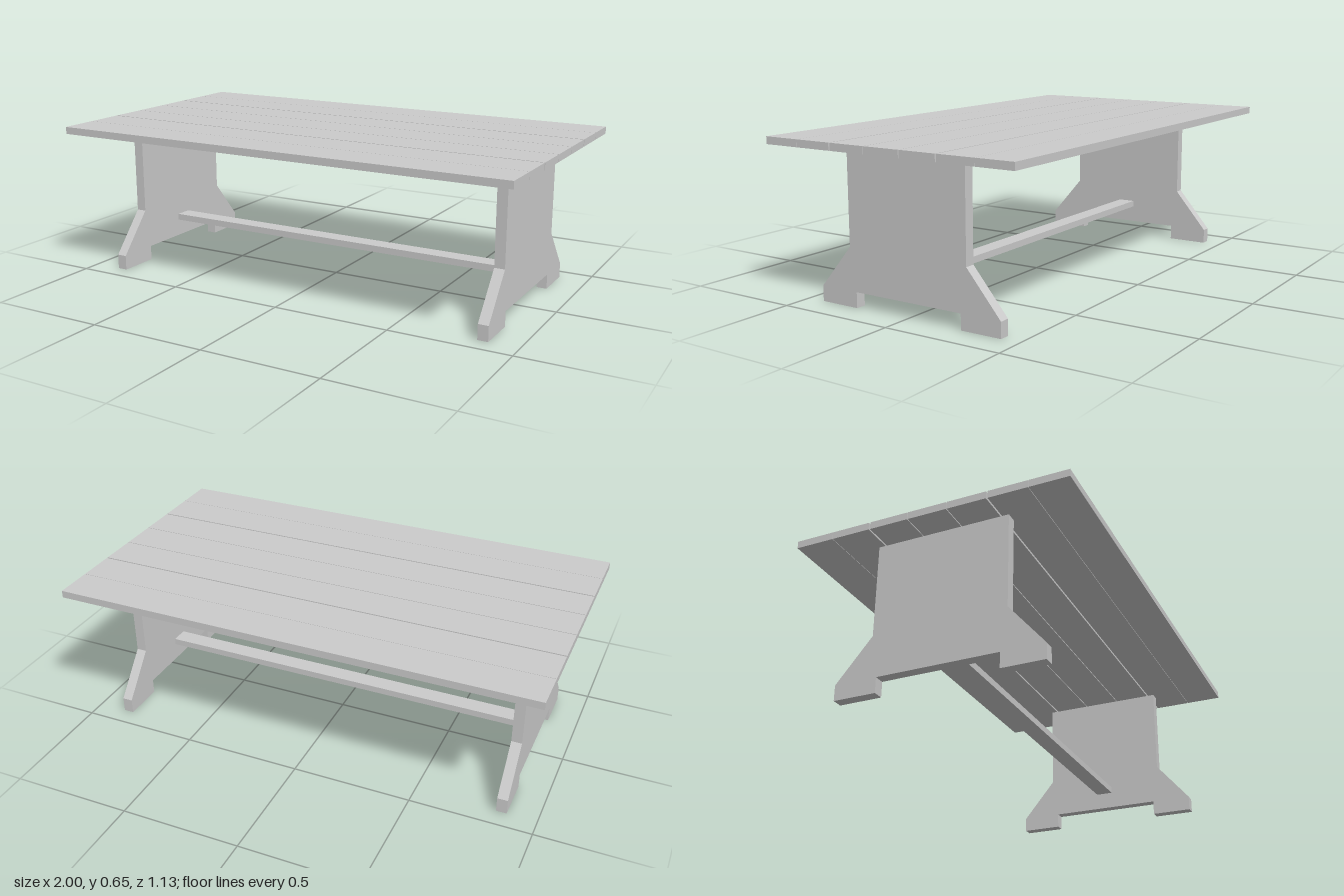
import * as THREE from 'three';

const material = new THREE.MeshStandardMaterial({ color: 0xcccccc, flatShading: true });

function addBox(parent, name, size, position) {
  const mesh = new THREE.Mesh(new THREE.BoxGeometry(...size), material);
  mesh.name = name;
  mesh.position.set(...position);
  parent.add(mesh);
}

// Trestle outline: one half from bottom to top, mirrored for the other half
function trestleGeometry(thickness) {
  const half = [[0.248, 0.063], [0.248, 0], [0.423, 0], [0.423, 0.063], [0.275, 0.237], [0.275, 0.623]];
  const mirrored = half.map(([z, y]) => [-z, y]).reverse();
  const shape = new THREE.Shape([...half, ...mirrored].map(([z, y]) => new THREE.Vector2(z, y)));
  const geometry = new THREE.ExtrudeGeometry(shape, { depth: thickness, bevelEnabled: false });
  geometry.translate(0, 0, -thickness / 2);
  geometry.rotateY(Math.PI / 2);
  return geometry;
}

export function createModel() {
  const table = new THREE.Group();
  table.name = 'table';

  // Seven top planks, with a slightly wider gap beside the middle three
  const top = new THREE.Group();
  top.name = 'tabletop';
  for (const z of [-0.4875, -0.327, -0.162, 0, 0.162, 0.327, 0.4875]) {
    addBox(top, 'plank', [2, 0.03, 0.159], [0, 0.638, z]);
  }
  table.add(top);

  // Trestle legs
  const legGeometry = trestleGeometry(0.043);
  for (const side of [1, -1]) {
    const leg = new THREE.Mesh(legGeometry, material);
    leg.name = side > 0 ? 'leftTrestle' : 'rightTrestle';
    leg.position.x = side * 0.856;
    table.add(leg);
  }

  // Stretcher between the trestles
  addBox(table, 'stretcher', [1.669, 0.028, 0.075], [0, 0.151, 0]);

  return table;
}
